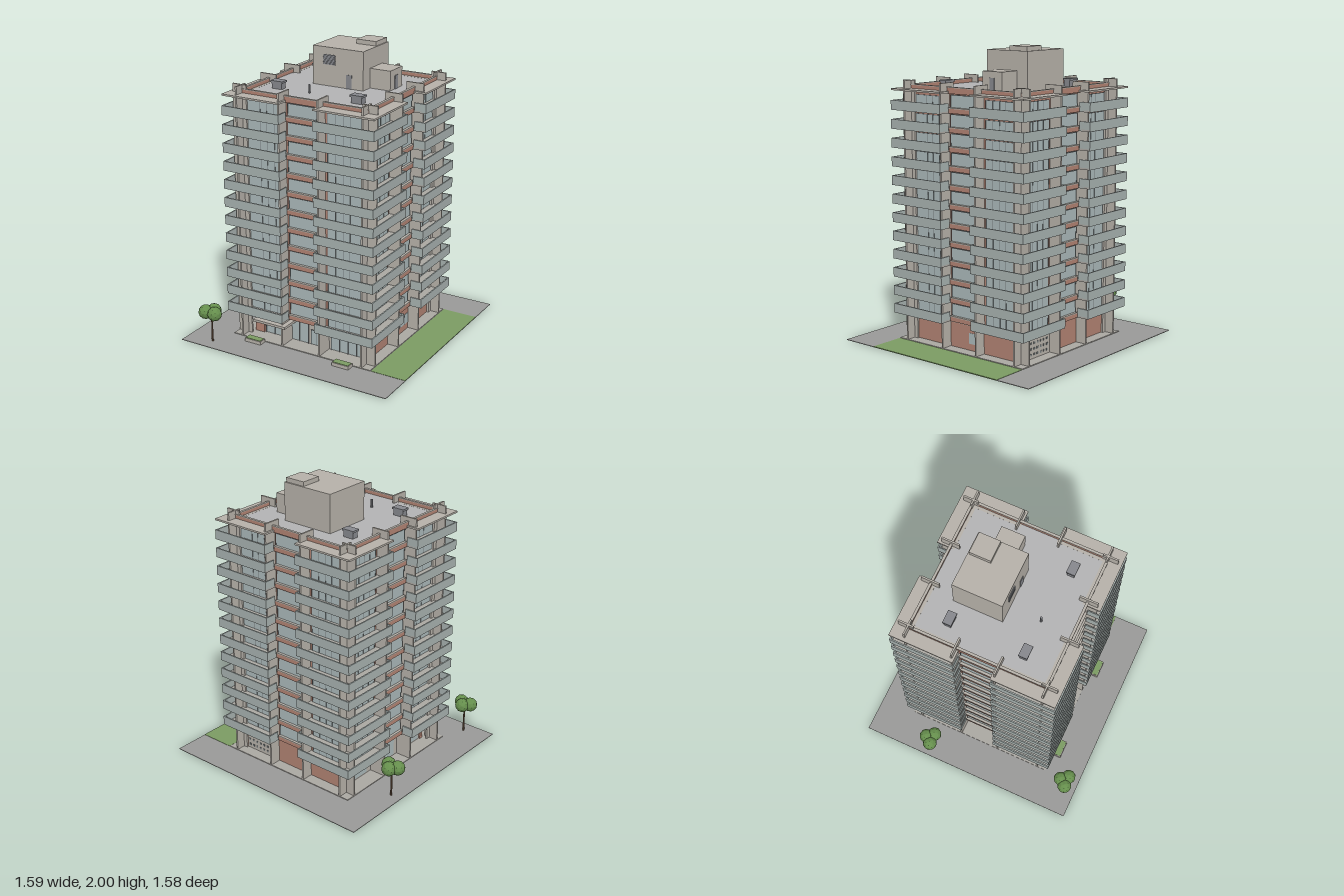
import * as THREE from 'three';
import { mergeGeometries } from 'three/addons/utils/BufferGeometryUtils.js';

const mat = (color) => new THREE.MeshStandardMaterial({ color, flatShading: true });
const M = {
  concrete: mat(0xb5b0a8), slab: mat(0xaaa7a1), brick: mat(0xb08272), panel: mat(0xa6b0ae),
  glass: mat(0xa9b7b8), frame: mat(0x747a7c), deck: mat(0xb2b2b3), paving: mat(0x999997),
  grass: mat(0x7b9b62), leaf: mat(0x668f4d), trunk: mat(0x6b5340), metal: mat(0x85878c),
};
const FLOORS = 12, BASE = 0.186, STEP = 0.1258, ROOF = BASE + FLOORS * STEP;

// one mesh from a list of boxes given as [x0, x1, y0, y1, z0, z1]
function boxes(name, material, list) {
  const geos = list.map(([x0, x1, y0, y1, z0, z1]) =>
    new THREE.BoxGeometry(x1 - x0, y1 - y0, z1 - z0)
      .translate((x0 + x1) / 2, (y0 + y1) / 2, (z0 + z1) / 2));
  const mesh = new THREE.Mesh(mergeGeometries(geos), material);
  mesh.name = name;
  return mesh;
}
// adds the left/right mirrored copy of every box
const mirror = (list) => list.flatMap((b) => [b, [-b[1], -b[0], ...b.slice(2)]]);

// one storey of one facade, floor level at y = 0
function createStorey() {
  const g = new THREE.Group();
  g.name = 'storey';
  g.add(
    boxes('balconySlab', M.slab, [[-0.56, -0.125, 0, 0.012, 0.44, 0.56], [0.125, 0.46, 0, 0.012, 0.44, 0.56]]),
    boxes('balconyParapet', M.panel, mirror([
      [0.125, 0.561, 0, 0.064, 0.553, 0.562],
      [0.125, 0.132, 0, 0.064, 0.478, 0.553],
    ])),
    boxes('window', M.glass, [...mirror([[0.17, 0.438, 0.012, 0.102, 0.44, 0.454]]),
      [-0.118, 0.118, 0.038, 0.118, 0.44, 0.462]]),
    boxes('windowFrame', M.frame, [
      ...mirror([0.17, 0.228, 0.285, 0.335, 0.436].map((x) => [x - 0.0015, x + 0.0015, 0.012, 0.102, 0.44, 0.456])),
      ...mirror([[0.17, 0.438, 0.1, 0.103, 0.44, 0.456], [0.117, 0.12, 0.038, 0.118, 0.44, 0.464]]),
      [-0.118, 0.118, 0.116, 0.119, 0.44, 0.464],
    ]),
    boxes('centreSpandrel', M.brick, [[-0.125, 0.125, 0, 0.03, 0.44, 0.476]]),
    boxes('centreSill', M.concrete, [[-0.125, 0.125, 0.03, 0.037, 0.44, 0.479]]),
  );
  return g;
}

// one side of the tower; four turned copies close it
function createFacade(storey) {
  const g = new THREE.Group();
  g.name = 'facade';
  for (let i = 0; i < FLOORS; i++) {
    const s = storey.clone();
    s.position.y = BASE + i * STEP;
    g.add(s);
  }
  g.add(
    boxes('verticalFin', M.concrete, mirror([
      [0.139, 0.151, 0, 1.765, 0.41, 0.535],
      [0.459, 0.471, 0, 1.765, 0.43, 0.535],
    ])),
    boxes('roofOverhang', M.concrete, [
      [-0.56, -0.125, ROOF + 0.004, ROOF + 0.016, 0.44, 0.56],
      [0.125, 0.46, ROOF + 0.004, ROOF + 0.016, 0.44, 0.56],
    ]),
    boxes('roofParapet', M.brick, [[-0.473, 0.473, ROOF, 1.734, 0.461, 0.473]]),
    boxes('parapetCoping', M.concrete, [[-0.476, 0.476, 1.734, 1.74, 0.458, 0.476]]),
  );
  return g;
}

function createGroundFloor() {
  const g = new THREE.Group();
  g.name = 'groundFloor';
  const mullions = [-0.35, -0.28, -0.21, -0.155, -0.08, -0.01, 0.13, 0.17, 0.235, 0.3, 0.365, 0.428];
  const pattern = [];
  for (let i = 0; i < 9; i++) for (let j = 0; j < 4; j++) {
    const x = 0.175 + i * 0.033, y = 0.03 + j * 0.038;
    pattern.push([x, x + 0.014, y, y + 0.014, -0.458, -0.44]);
  }
  g.add(
    boxes('plinth', M.slab, [[-0.535, 0.535, 0, 0.009, -0.535, 0.535]]),
    boxes('groundWall', M.concrete, [[-0.42, 0.44, 0, BASE, -0.44, 0.41]]),
    boxes('firstFloorSlab', M.slab, [[-0.46, 0.46, BASE - 0.008, BASE + 0.01, -0.46, 0.46]]),
    boxes('sideBrickWall', M.brick, [[0.43, 0.455, 0.009, BASE, -0.455, 0.455]]),
    boxes('backBrickWall', M.brick, [[-0.455, 0.139, 0.009, BASE, -0.455, -0.43]]),
    boxes('screenWall', M.concrete, [[0.151, 0.459, 0.009, BASE, -0.455, -0.43]]),
    boxes('screenOpenings', M.frame, pattern),
    boxes('entranceBrickPanel', M.brick, [[-0.43, -0.36, 0.009, BASE, 0.4, 0.425]]),
    boxes('lobbyGlass', M.glass, [
      [-0.35, -0.01, 0.012, 0.165, 0.4, 0.415], [0.015, 0.1, 0.012, 0.115, 0.4, 0.415],
      [0.17, 0.43, 0.012, 0.165, 0.4, 0.415], [0.44, 0.458, 0.055, 0.128, -0.135, -0.02],
    ]),
    boxes('lobbyFrames', M.frame, [
      ...mullions.map((x) => [x - 0.002, x + 0.002, 0.01, 0.167, 0.4, 0.418]),
      ...[0.013, 0.057, 0.1].map((x) => [x - 0.002, x + 0.002, 0.01, 0.117, 0.4, 0.418]),
      [-0.35, -0.01, 0.164, 0.168, 0.4, 0.418], [0.17, 0.43, 0.164, 0.168, 0.4, 0.418],
      [0.013, 0.1, 0.115, 0.118, 0.4, 0.418], [0.44, 0.46, 0.055, 0.128, -0.079, -0.076],
    ]),
    boxes('colonnadeGlass', M.glass, [-0.4, -0.1, 0.18].map((z) => [-0.425, -0.41, 0.02, 0.16, z, z + 0.2])),
    boxes('entranceCanopy', M.concrete, [[-0.36, -0.105, 0.148, 0.165, 0.41, 0.56]]),
  );
  return g;
}

function createRoof() {
  const g = new THREE.Group();
  g.name = 'roof';
  const louvres = [0, 1, 2, 3, 4, 5].map((i) => [-0.107, -0.018, 1.856 + i * 0.011, 1.862 + i * 0.011, 0.03, 0.049]);
  const pipe = new THREE.Mesh(new THREE.CylinderGeometry(0.008, 0.008, 0.06, 10), M.metal);
  pipe.name = 'ventPipe';
  pipe.position.set(-0.085, 1.737, 0.254);
  const vents = [[-0.32, -0.255], [-0.32, 0.256], [0.3, 0.298]];
  g.add(
    boxes('roofDeck', M.deck, [[-0.465, 0.465, ROOF, 1.711, -0.465, 0.465]]),
    boxes('penthouse', M.concrete, [[-0.19, 0.19, 1.7, 1.97, -0.296, 0.042]]),
    boxes('penthouseAnnex', M.concrete, [[0.185, 0.34, 1.7, 1.843, -0.21, 0.052 - 0.1]]),
    boxes('liftOverrun', M.concrete, [[0.035, 0.182, 1.96, 2.0, -0.286, -0.14]]),
    boxes('louvreVent', M.metal, [[-0.103, -0.022, 1.854, 1.921, 0.03, 0.0445], ...louvres]),
    boxes('roofDoor', M.metal, [[0.065, 0.105, 1.711, 1.803, 0.03, 0.046], [0.33, 0.344, 1.711, 1.802, -0.147, -0.107]]),
    boxes('roofVent', M.metal, vents.flatMap(([x, z]) => [
      [x - 0.038, x + 0.038, 1.71, 1.752, z - 0.024, z + 0.024],
      [x - 0.045, x + 0.045, 1.752, 1.765, z - 0.03, z + 0.03],
    ])),
    pipe,
  );
  return g;
}

function createTree(x, z) {
  const g = new THREE.Group();
  g.name = 'tree';
  const trunk = new THREE.Mesh(new THREE.CylinderGeometry(0.005, 0.007, 0.21, 6), M.trunk);
  trunk.name = 'trunk';
  trunk.position.y = 0.105;
  g.add(trunk);
  for (const [dx, dz] of [[0, -0.03], [-0.038, 0.015], [0.036, 0.016]]) {
    const crown = new THREE.Mesh(new THREE.IcosahedronGeometry(0.05, 1), M.leaf);
    crown.name = 'foliage';
    crown.position.set(dx, 0.22, dz);
    crown.rotation.y = dx * 20;
    g.add(crown);
  }
  g.position.set(x, 0, z);
  return g;
}

export function createModel() {
  const model = new THREE.Group();
  model.name = 'apartmentTower';

  // site
  model.add(
    boxes('paving', M.paving, [[-0.79, 0.79, 0, 0.004, -0.79, 0.79]]),
    boxes('lawn', M.grass, [[0.54, 0.79, 0.001, 0.006, -0.54, 0.53]]),
    boxes('planter', M.concrete, mirror([[0.28, 0.405, 0, 0.028, 0.535, 0.592]])),
    boxes('planterGrass', M.grass, mirror([[0.285, 0.4, 0.02, 0.031, 0.54, 0.587]])),
    createTree(-0.713, -0.305), createTree(-0.595, 0.702),
  );

  // tower
  const tower = new THREE.Group();
  tower.name = 'tower';
  tower.position.z = -0.004;
  tower.add(boxes('brickCore', M.brick, [[-0.449, 0.449, BASE, ROOF, -0.449, 0.449]]));
  const facade = createFacade(createStorey());
  for (let i = 0; i < 4; i++) {
    const side = facade.clone();
    side.rotation.y = i * Math.PI / 2;
    tower.add(side);
  }
  tower.add(createGroundFloor(), createRoof());
  model.add(tower);
  return model;
}
